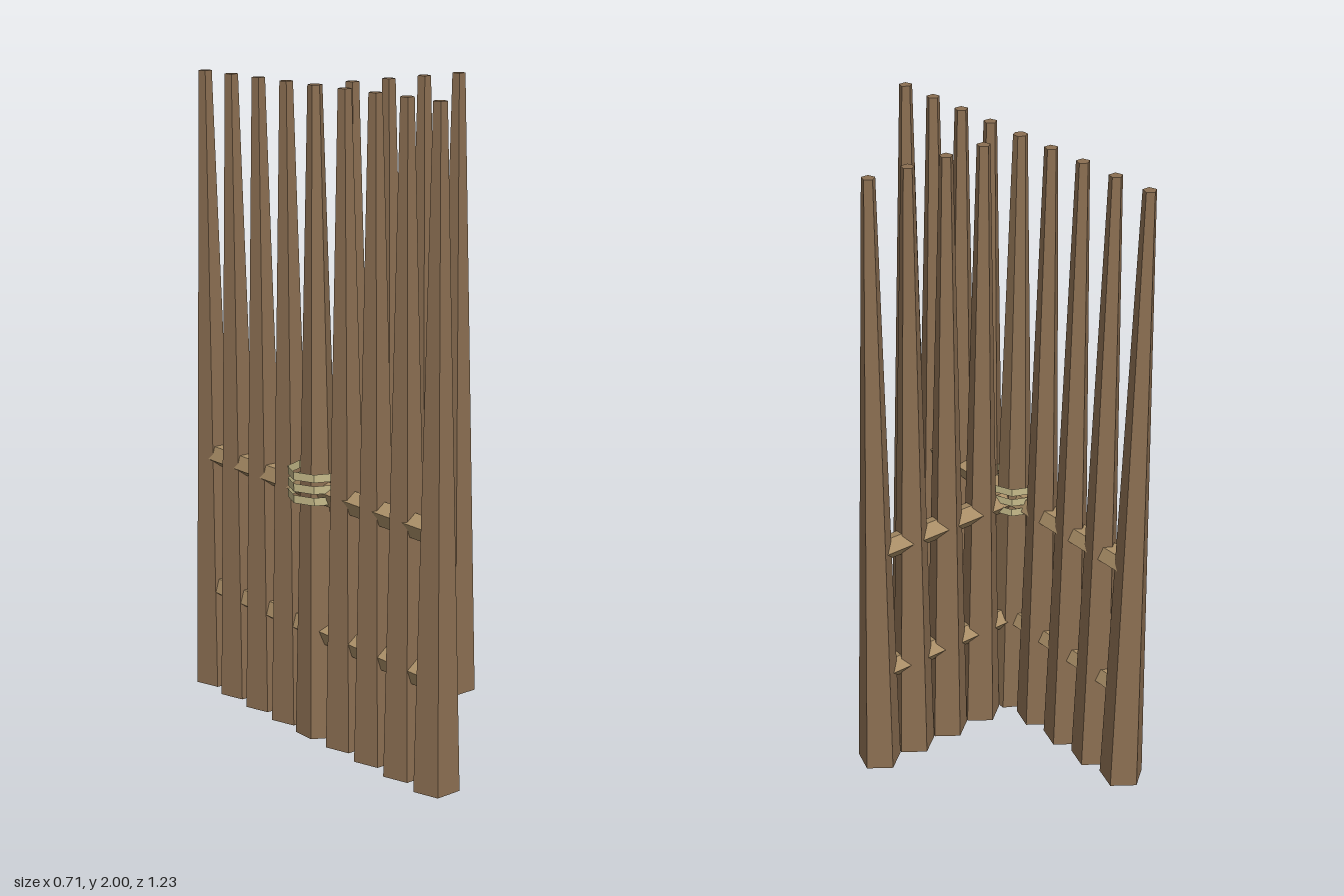
import * as THREE from 'three';

export function createModel() {
  const model = new THREE.Group();
  const mat = (name, color, extra = {}) => {
    const m = new THREE.MeshStandardMaterial({ color, ...extra });
    m.name = name;
    m.flatShading = true;
    return m;
  };
  const bark = mat('brown wood', 0x8b6f52);
  const timber = mat('light wood', 0xac9068);
  const rope = mat('straw rope', 0xc6bb8a, { side: THREE.DoubleSide });

  const add = (name, geometry, material, x, y, z) => {
    const mesh = new THREE.Mesh(geometry, material);
    mesh.name = name;
    mesh.position.set(x, y, z);
    model.add(mesh);
    return mesh;
  };

  const cx = -0.268, cz = 0.007, step = 0.138;

  // Tapered five-sided stakes with one corner to the back
  const stake = new THREE.CylinderGeometry(0.021, 0.071, 2, 5).rotateY(Math.PI);
  for (let i = 1; i <= 4; i++) {
    add('sideStake', stake, bark, cx + i * step, 1, cz);
    add('frontStake', stake, bark, cx, 1, cz + i * step);
    add('backStake', stake, bark, cx, 1, cz - i * step);
  }

  // Six-sided stake where the three arms meet
  add('cornerStake', new THREE.CylinderGeometry(0.022, 0.076, 2, 6), bark, cx, 1, cz);

  // Five-sided rails running out from the corner along each arm
  const length = 4 * step;
  const rail = () => new THREE.CylinderGeometry(0.038, 0.038, length, 5);
  const sideRail = rail().rotateY(Math.PI).rotateZ(-Math.PI / 2);
  const frontRail = rail().rotateX(-Math.PI / 2);
  const backRail = rail().rotateX(Math.PI / 2);
  for (const y of [0.336, 0.78]) {
    add('sideRail', sideRail, timber, cx + length / 2, y, cz);
    add('frontRail', frontRail, timber, cx, y, cz + length / 2);
    add('backRail', backRail, timber, cx, y, cz - length / 2);
  }

  // Open rope bands around the corner stake
  const band = new THREE.CylinderGeometry(0.092, 0.092, 0.025, 8, 1, true);
  for (let i = 0; i < 3; i++) {
    add('ropeBand', band, rope, cx, 0.77 + i * 0.036, cz);
  }

  return model;
}
